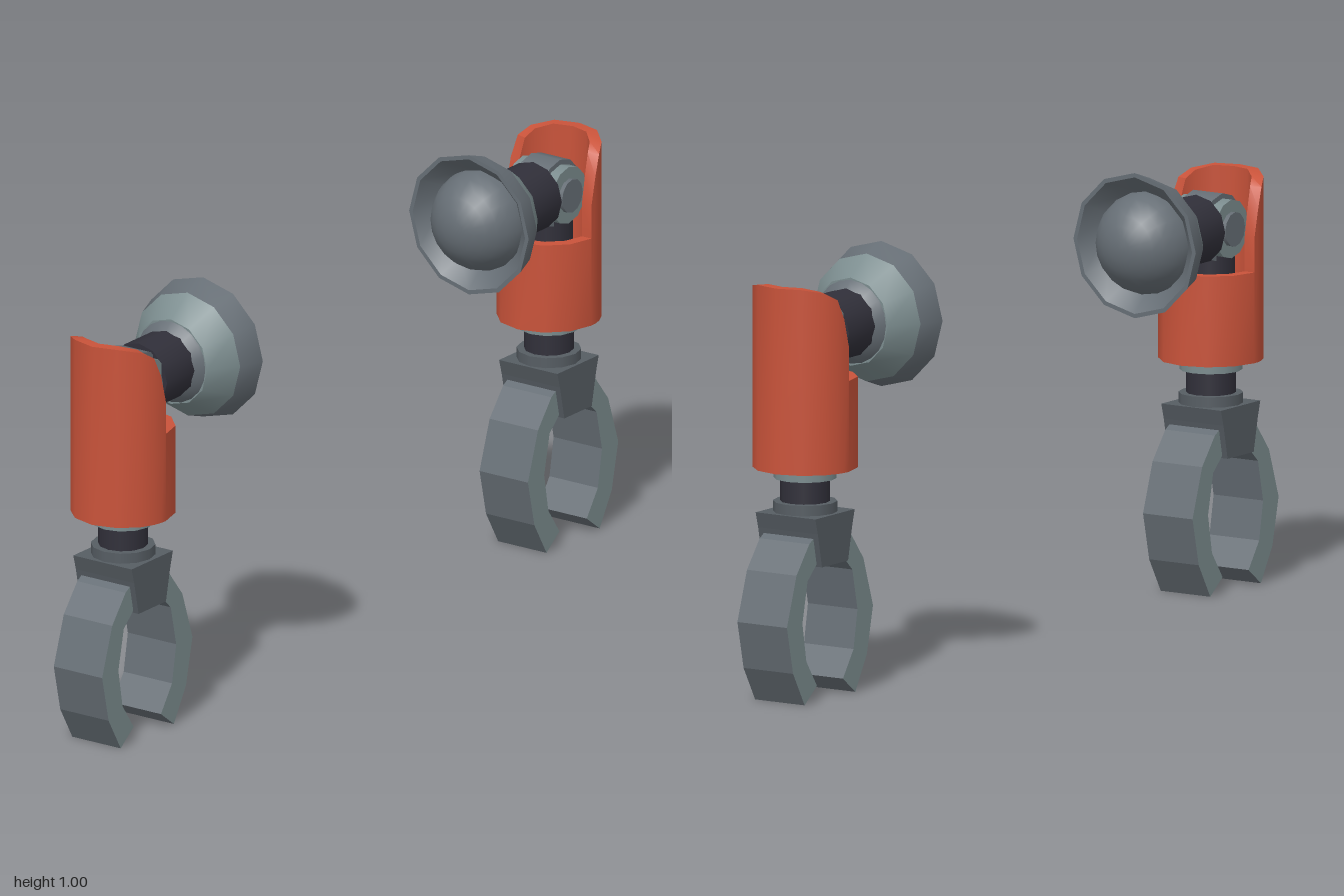
import * as THREE from 'three';
import { toCreasedNormals } from 'three/addons/utils/BufferGeometryUtils.js';

const material = (name, color, side = THREE.FrontSide) =>
  Object.assign(new THREE.MeshStandardMaterial({ color, side }), { name });
const red = material('red shell', 0xc9533a);
const dark = material('dark rubber', 0x31303a);
const grey = material('mid grey', 0x666e75, THREE.DoubleSide);
const light = material('light grey', 0x7b8c8e, THREE.DoubleSide);
const steel = material('dark grey', 0x565d63);

const SIDES = 12;
const JOINT_Y = 0.837;

function add(group, name, geometry, mat, x = 0, y = 0, z = 0) {
  const mesh = new THREE.Mesh(geometry, mat);
  mesh.name = name;
  mesh.position.set(x, y, z);
  group.add(mesh);
  return mesh;
}

// Upright disc between two heights
function disc(group, name, r, y0, y1, mat) {
  add(group, name, new THREE.CylinderGeometry(r, r, y1 - y0, SIDES), mat, 0, (y0 + y1) / 2);
}

// Profile of [radius, distance toward the middle], turned about the x axis
function turned(points, crease = 0.6) {
  const g = new THREE.LatheGeometry(points.map(([r, t]) => new THREE.Vector2(r, t)), SIDES);
  return toCreasedNormals(g.rotateZ(Math.PI / 2), crease);
}

// Cup whose outer half rises into a rounded guard
function shellGeometry() {
  const R = 0.12, r = 0.093, floor = 0.6, base = 0.53, low = 0.74;
  const half = [[0, 0.96], [30, 0.96], [56, 0.95], [72, 0.932], [82, 0.885], [90, 0.82],
    [90, low], [120, low], [150, low], [180, low]];
  const columns = [...half, ...half.slice(1, -1).reverse().map(([a, y]) => [360 - a, y])];
  const positions = [], index = [];
  for (const [deg, top] of columns) {
    const a = THREE.MathUtils.degToRad(deg);
    for (const [q, y] of [[0, base], [R, base], [R, top], [r, top], [r, floor], [0, floor]])
      positions.push(q * Math.cos(a), y, -q * Math.sin(a));
  }
  const n = columns.length;
  for (let i = 0; i < n; i++) {
    for (let j = 0; j < 5; j++) {
      const a = i * 6 + j, b = ((i + 1) % n) * 6 + j;
      index.push(a, b, b + 1, a, b + 1, a + 1);
    }
  }
  const g = new THREE.BufferGeometry();
  g.setAttribute('position', new THREE.Float32BufferAttribute(positions, 3));
  g.setIndex(index);
  return toCreasedNormals(g, 0.6);
}

// Extrude an outline of [x, y] points, centred in z
function plate(points, depth) {
  const shape = new THREE.Shape(points.map(([x, y]) => new THREE.Vector2(x, y)));
  return new THREE.ExtrudeGeometry(shape, { depth, bevelEnabled: false }).translate(0, 0, -depth / 2);
}

function createArm() {
  const arm = new THREE.Group();
  add(arm, 'forearmShell', shellGeometry(), red);

  // Elbow hinge and its post inside the shell
  disc(arm, 'elbowPost', 0.055, 0.6, 0.78, dark);
  const hinge = (name, r, w, mat) =>
    add(arm, name, new THREE.CylinderGeometry(r, r, w, SIDES).rotateX(Math.PI / 2), mat, -0.012, JOINT_Y);
  hinge('elbowKnuckle', 0.08, 0.08, grey);
  hinge('elbowCheeks', 0.068, 0.13, light);
  hinge('elbowPin', 0.04, 0.15, grey);

  // Upper arm
  add(arm, 'upperArm', turned([[0, 0.06], [0.08, 0.06], [0.08, 0.19], [0, 0.19]]), dark, 0, JOINT_Y);

  // Shoulder dish with the ball sitting in it
  add(arm, 'shoulderCone', turned([[0, 0.185], [0.102, 0.185], [0.148, 0.25]], 0.5), light, 0, JOINT_Y);
  add(arm, 'shoulderRim', turned([[0.148, 0.25], [0.168, 0.31], [0.158, 0.31], [0.118, 0.265]]), grey, 0, JOINT_Y);
  add(arm, 'shoulderBall', new THREE.SphereGeometry(0.12, 20, 14).rotateZ(Math.PI / 2), grey, -0.255, JOINT_Y);

  // Wrist stack
  disc(arm, 'wristCollar', 0.072, 0.505, 0.531, light);
  disc(arm, 'wrist', 0.057, 0.45, 0.507, dark);
  disc(arm, 'wristDisc', 0.074, 0.428, 0.452, steel);

  // Hand block and the two claw fingers
  add(arm, 'handBlock', plate([[-0.053, 0.313], [0.053, 0.313], [0.07, 0.392], [0.08, 0.428],
    [-0.08, 0.428], [-0.07, 0.392]], 0.164), steel);
  const finger = [[0.06, 0.384], [0.084, 0.37], [0.136, 0.305], [0.175, 0.19], [0.15, 0.08], [0.103, 0],
    [0.053, 0.038], [0.096, 0.1], [0.112, 0.19], [0.091, 0.285], [0.037, 0.335]];
  for (const s of [1, -1])
    add(arm, s > 0 ? 'outerFinger' : 'innerFinger',
      plate(finger.map(([x, y]) => [s * x, y]), 0.136), [light, grey]);
  return arm;
}

export function createModel() {
  const model = new THREE.Group();
  model.name = 'armPair';
  for (const s of [1, -1]) {
    const arm = createArm();
    arm.name = s > 0 ? 'leftArm' : 'rightArm';
    arm.position.x = s * 0.825;
    if (s < 0) arm.rotation.y = Math.PI;
    model.add(arm);
  }
  return model;
}
